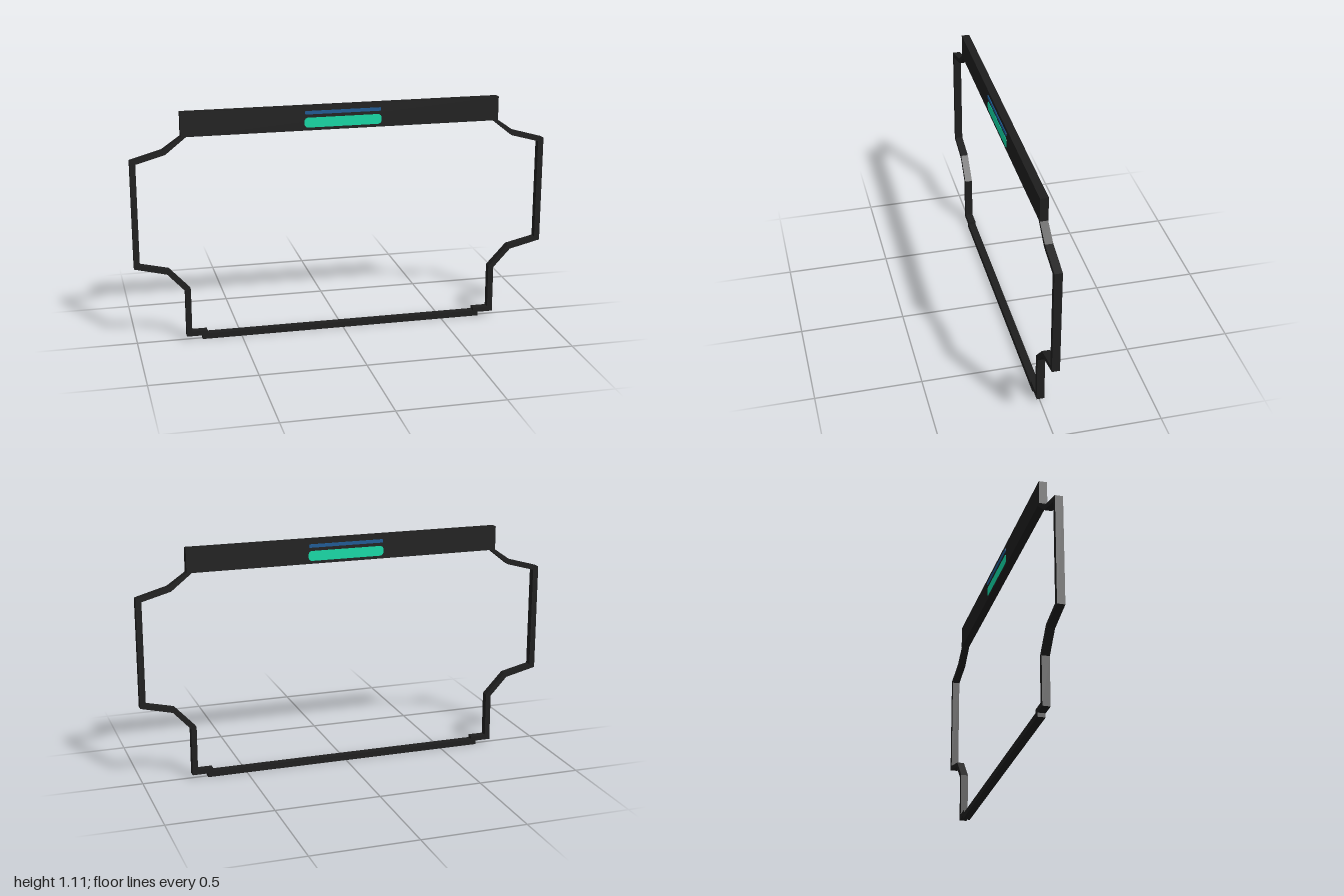
import * as THREE from 'three';

const dark = new THREE.MeshStandardMaterial({ color: 0x1e1e1e });
const green = new THREE.MeshStandardMaterial({ color: 0x11d9a6 });
const blue = new THREE.MeshStandardMaterial({ color: 0x1b5a94 });

// Flat outline extruded evenly to both sides of z = 0
function plate(name, shape, halfDepth, material) {
  const geometry = new THREE.ExtrudeGeometry(shape, {
    depth: halfDepth * 2, bevelEnabled: false, curveSegments: 8,
  });
  geometry.translate(0, 0, -halfDepth);
  const mesh = new THREE.Mesh(geometry, material);
  mesh.name = name;
  return mesh;
}

function polygon(points) {
  return new THREE.Shape(points.map(([x, y]) => new THREE.Vector2(x, y)));
}

function rect(halfWidth, y0, y1) {
  return polygon([[-halfWidth, y0], [halfWidth, y0], [halfWidth, y1], [-halfWidth, y1]]);
}

function roundedRect(halfWidth, y0, y1, r) {
  const s = new THREE.Shape();
  s.absarc(halfWidth - r, y0 + r, r, -Math.PI / 2, 0);
  s.absarc(halfWidth - r, y1 - r, r, 0, Math.PI / 2);
  s.absarc(-halfWidth + r, y1 - r, r, Math.PI / 2, Math.PI);
  s.absarc(-halfWidth + r, y0 + r, r, Math.PI, Math.PI * 1.5);
  s.closePath();
  return s;
}

export function createModel() {
  const model = new THREE.Group();
  model.name = 'frame';

  // Stepped side rails: outer edge going down, inner edge going back up
  const outer = [[0.762, 1.0], [0.848, 0.94], [1, 0.897], [1, 0.377],
    [0.848, 0.34], [0.765, 0.25], [0.765, 0.019]];
  const inner = [[0.665, 0.019], [0.665, 0.043], [0.739, 0.043], [0.739, 0.257],
    [0.836, 0.361], [0.973, 0.393], [0.973, 0.881], [0.836, 0.919], [0.735, 1.0]];
  for (const [name, side] of [['leftRail', 1], ['rightRail', -1]]) {
    const points = [...outer, ...inner].map(([x, y]) => [x * side, y]);
    model.add(plate(name, polygon(points), 0.018, dark));
  }

  // Bottom bar overlapping the feet of the rails, and the tall header
  model.add(plate('bottomBar', rect(0.69, 0, 0.028), 0.018, dark));
  model.add(plate('header', rect(0.763, 0.998, 1.113), 0.019, dark));

  // Light panel and strip showing on both faces of the header
  model.add(plate('lightPanel', roundedRect(0.185, 1.012, 1.059, 0.018), 0.0205, green));
  model.add(plate('lightStrip', roundedRect(0.182, 1.075, 1.091, 0.004), 0.0225, blue));
  return model;
}
